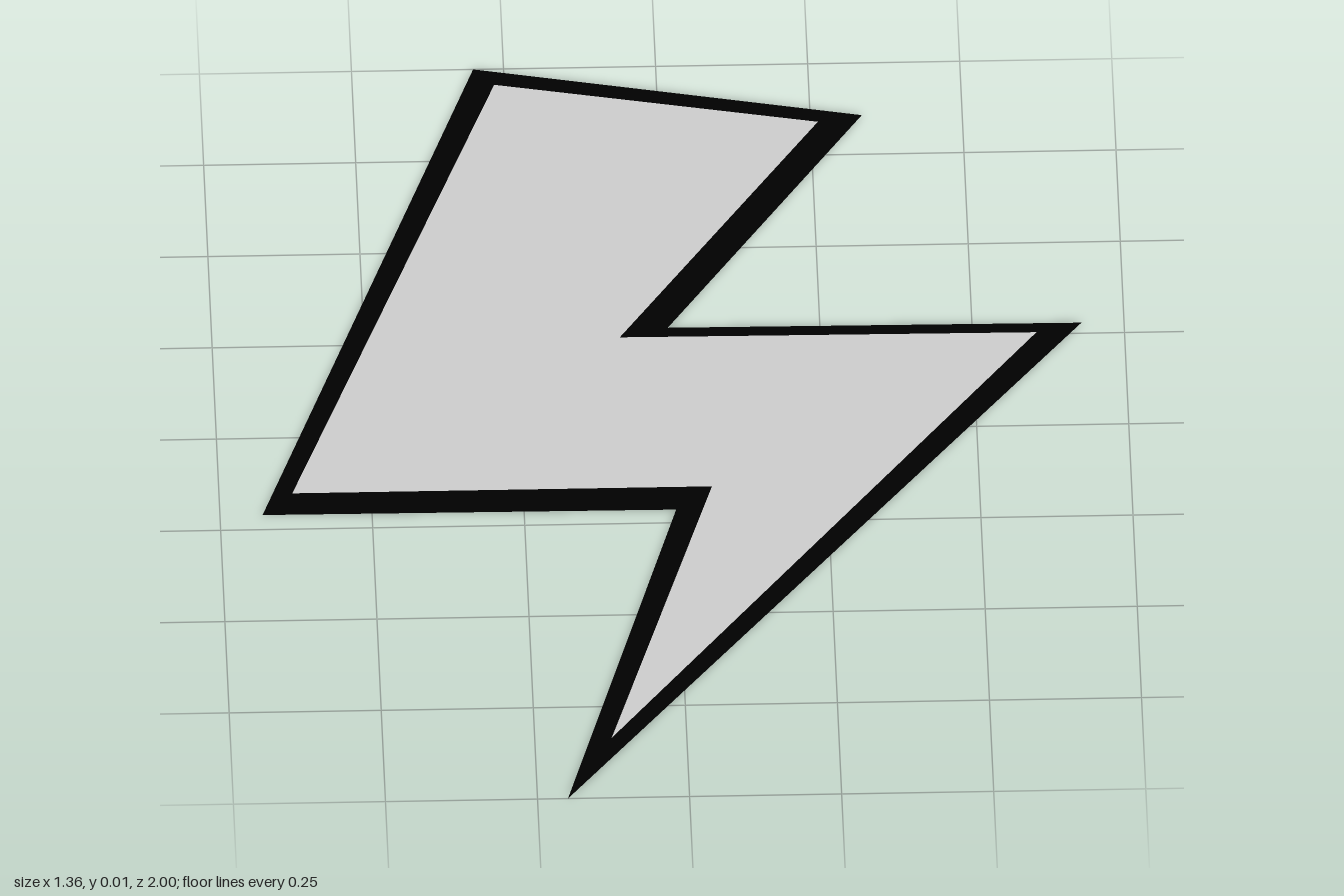
import * as THREE from 'three';

// Flat polygon lying in the ground plane, facing up; points are [x, z]
function flatPanel(name, points, color, height) {
  const shape = new THREE.Shape(points.map(([x, z]) => new THREE.Vector2(x, -z)));
  const geometry = new THREE.ShapeGeometry(shape).rotateX(-Math.PI / 2);
  const material = new THREE.MeshStandardMaterial({ color, side: THREE.DoubleSide });
  const mesh = new THREE.Mesh(geometry, material);
  mesh.name = name;
  mesh.position.y = height;
  return mesh;
}

export function createModel() {
  const group = new THREE.Group();
  group.name = 'lightningBolt';

  // Black backing that shows as a border
  const outer = [
    [-0.3, -1], [0.335, -0.857], [0, -0.284], [0.68, -0.279],
    [-0.2, 1], [0, 0.214], [-0.68, 0.21],
  ];
  // Grey face floating just above the backing
  const inner = [
    [-0.267, -0.941], [0.262, -0.825], [-0.08, -0.244], [0.605, -0.239],
    [-0.124, 0.852], [0.06, 0.168], [-0.63, 0.168],
  ];
  group.add(flatPanel('boltBorder', outer, 0x000000, 0));
  group.add(flatPanel('boltFace', inner, 0xcccccc, 0.012));
  return group;
}
